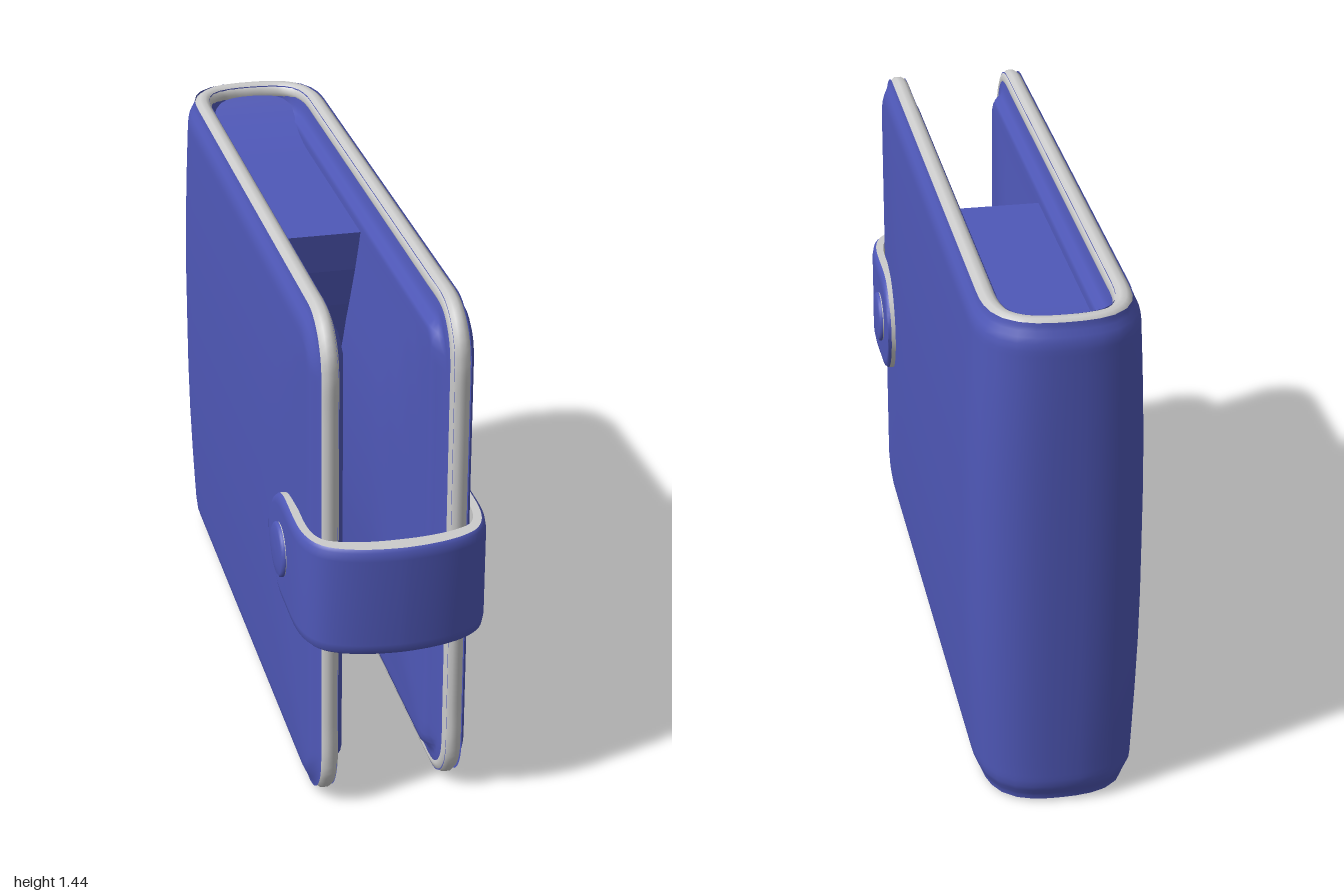
import * as THREE from 'three';
import { toCreasedNormals } from 'three/addons/utils/BufferGeometryUtils.js';

const blue = new THREE.MeshStandardMaterial({ color: 0x4f58b8, side: THREE.DoubleSide });
const grey = new THREE.MeshStandardMaterial({ color: 0xcccccc, side: THREE.DoubleSide });
const sat = (x) => THREE.MathUtils.smoothstep(x, 0, 1);
const BOTTOM = 0.015, TOP = 1.445, CORNER = 0.15;

// Surface from rows of points: rows run along u, each row runs along v.
function loft(rows) {
  const n = rows[0].length, index = [];
  for (let i = 0; i < rows.length - 1; i++) {
    for (let j = 0; j < n - 1; j++) {
      const a = i * n + j, b = a + n;
      index.push(a, b, b + 1, a, b + 1, a + 1);
    }
  }
  const g = new THREE.BufferGeometry().setFromPoints(rows.flat());
  g.setIndex(index);
  g.computeVertexNormals();
  return g;
}

// Distances along a path, denser near both ends.
function stations(length, end, mid) {
  const s = [];
  for (let i = 0; i < 16; i++) s.push(end * (i / 16) ** 2);
  const back = s.map((d) => length - d).reverse();
  for (let i = 0; i <= mid; i++) s.push(end + (length - 2 * end) * i / mid);
  return s.concat(back);
}

// Position and outward normal on a plan path (path y is model z).
function frame(path, length, s) {
  const u = THREE.MathUtils.clamp(s / length, 0, 1);
  const p = path.getPointAt(u), t = path.getTangentAt(u);
  return { at: (off, y) => new THREE.Vector3(p.x - t.y * off, y, p.y + t.x * off), side: Math.abs(t.y) };
}

// Quarter-circle inset used to round the free corners.
function inset(e, r) {
  return e >= r ? 0 : r - Math.sqrt(Math.max(0, r * r - (r - e) ** 2));
}

function coverPath() {
  const p = new THREE.Path();
  p.moveTo(0.172, 0.875);
  p.lineTo(0.172, -0.77);
  p.bezierCurveTo(0.172, -0.92, 0.12, -0.95, 0, -0.95);
  p.bezierCurveTo(-0.12, -0.95, -0.172, -0.92, -0.172, -0.77);
  p.lineTo(-0.172, 0.875);
  return p;
}

// One skin of the folded cover; offset depends on distance to the free edge.
function coverSkin(path, offset) {
  const length = path.getLength();
  const half = [0, 0.01, 0.02, 0.035, 0.05, 0.07, 0.085, 0.1, 0.12, 0.16, 0.25, 0.4, 0.55];
  const full = TOP - BOTTOM;
  const ds = [...half, full / 2, ...half.map((d) => full - d).reverse()];
  return loft(stations(length, 0.25, 90).map((s) => {
    const e = Math.min(s, length - s), f = frame(path, length, s), cut = inset(e, CORNER);
    return ds.map((d) => {
      const y = BOTTOM + cut + d * (full - 2 * cut) / full;
      let edge = Math.min(e, y - BOTTOM, TOP - y);
      // radial distance in the rounded corners
      const ky = CORNER - Math.min(y - BOTTOM, TOP - y), kz = CORNER - e;
      if (ky > 0 && kz > 0) edge = CORNER - Math.hypot(ky, kz);
      return f.at(offset(Math.max(0, edge), f.side), y);
    });
  }));
}

// Piping that follows the whole free edge of the cover.
function piping(path) {
  const length = path.getLength(), m = 0.02, r = CORNER - m, upper = [];
  const ends = [0, 0.01, 0.04, 0.08, 0.13].map((e) => e + m);
  const list = [...ends];
  for (let i = 0; i <= 60; i++) list.push(0.25 + (length - 0.5) * i / 60);
  list.push(...ends.map((e) => length - e).reverse());
  for (const s of list) {
    const e = Math.min(s, length - s) - m;
    upper.push(frame(path, length, s).at(0, TOP - m - inset(e, r)));
  }
  const lower = upper.map((p) => new THREE.Vector3(p.x, TOP + BOTTOM - p.y, p.z)).reverse();
  const column = (from, to) => [0.1, 0.5, 0.9].map((k) => from.clone().lerp(to, k));
  const pts = [...upper, ...column(upper.at(-1), lower[0]), ...lower, ...column(lower.at(-1), upper[0])];
  const curve = new THREE.CatmullRomCurve3(pts, true, 'centripetal');
  return new THREE.TubeGeometry(curve, 500, 0.027, 10, true);
}

// Strap bent round the opening, with round tips.
function strapParts() {
  const p = new THREE.Path();
  p.moveTo(-0.237, 0.5);
  p.lineTo(-0.237, 0.66);
  p.bezierCurveTo(-0.237, 0.78, -0.25, 0.88, -0.195, 0.923);
  p.bezierCurveTo(-0.15, 0.955, -0.07, 0.967, 0, 0.967);
  p.bezierCurveTo(0.07, 0.967, 0.15, 0.955, 0.195, 0.923);
  p.bezierCurveTo(0.25, 0.88, 0.237, 0.78, 0.237, 0.66);
  p.lineTo(0.237, 0.5);
  const length = p.getLength(), R = 0.155, Y = 0.7;
  const build = (section) => loft(stations(length, 0.2, 60).map((s) => {
    const f = frame(p, length, s), h = R - inset(Math.min(s, length - s), R);
    const th = 0.015 + 0.012 * (1 - f.side);
    return section(h, th).map(([off, y]) => f.at(off, Y + y));
  }));
  const face = build((h, t) => [[t - 0.008, -h], [t, -h * 0.95], [t + 0.004, -h * 0.8], [t + 0.004, h * 0.8], [t, h * 0.95], [t - 0.008, h]]);
  const back = build((h, t) => [[t - 0.008, h], [-t, h], [-t, -h], [t - 0.008, -h]]);
  return [face, toCreasedNormals(back, 0.7)];
}

export function createModel() {
  const model = new THREE.Group();
  const add = (name, geometry, material, parent = model) => {
    const mesh = new THREE.Mesh(geometry, material);
    mesh.name = name;
    parent.add(mesh);
    return mesh;
  };
  const path = coverPath();

  // Padded outside and stepped pocket lining inside
  add('outerCover', coverSkin(path, (d, side) =>
    0.024 + 0.019 * sat(d / 0.06) + (0.005 + 0.015 * side) * Math.sin(Math.min(1, d / 0.6) * Math.PI / 2)), blue);
  add('innerLining', coverSkin(path, (d, side) =>
    -0.02 - side * (0.008 * sat(d / 0.05) + 0.025 * sat((d - 0.06) / 0.03) + 0.038 * sat(d / 0.6))), blue);
  add('edgePiping', piping(path), grey);

  // Sloping filling between the two halves, set into the spine
  const fill = new THREE.Shape();
  fill.moveTo(-0.93, 1.42);
  fill.quadraticCurveTo(-0.82, 1.33, -0.65, 1.33);
  fill.lineTo(0.02, 1.33);
  fill.quadraticCurveTo(-0.1, 0.6, -0.55, 0.08);
  fill.lineTo(-0.8, 0.08);
  fill.lineTo(-0.93, 0.04);
  const fillGeometry = new THREE.ExtrudeGeometry(fill, { depth: 0.24, bevelEnabled: false, curveSegments: 12 });
  fillGeometry.translate(0, 0, -0.12).rotateY(-Math.PI / 2);
  add('innerFilling', fillGeometry, blue);

  // Closing strap
  const strap = new THREE.Group();
  strap.name = 'strap';
  model.add(strap);
  const [face, back] = strapParts();
  add('strapFace', face, blue, strap);
  add('strapBacking', back, grey, strap);

  // Press studs, one on each side
  for (const side of [1, -1]) {
    const stud = new THREE.Group();
    stud.name = side > 0 ? 'leftStud' : 'rightStud';
    stud.position.set(side * 0.245, 0.705, 0.655);
    stud.rotation.z = -side * Math.PI / 2;
    const ring = new THREE.CylinderGeometry(0.074, 0.074, 0.02, 32);
    add('studRing', ring.translate(0, 0.008, 0), grey, stud);
    const cap = [[0.076, 0.014], [0.075, 0.02], [0.068, 0.025], [0.04, 0.028], [0, 0.029]];
    add('studCap', new THREE.LatheGeometry(cap.map(([x, y]) => new THREE.Vector2(x, y)), 32), blue, stud);
    model.add(stud);
  }
  return model;
}
